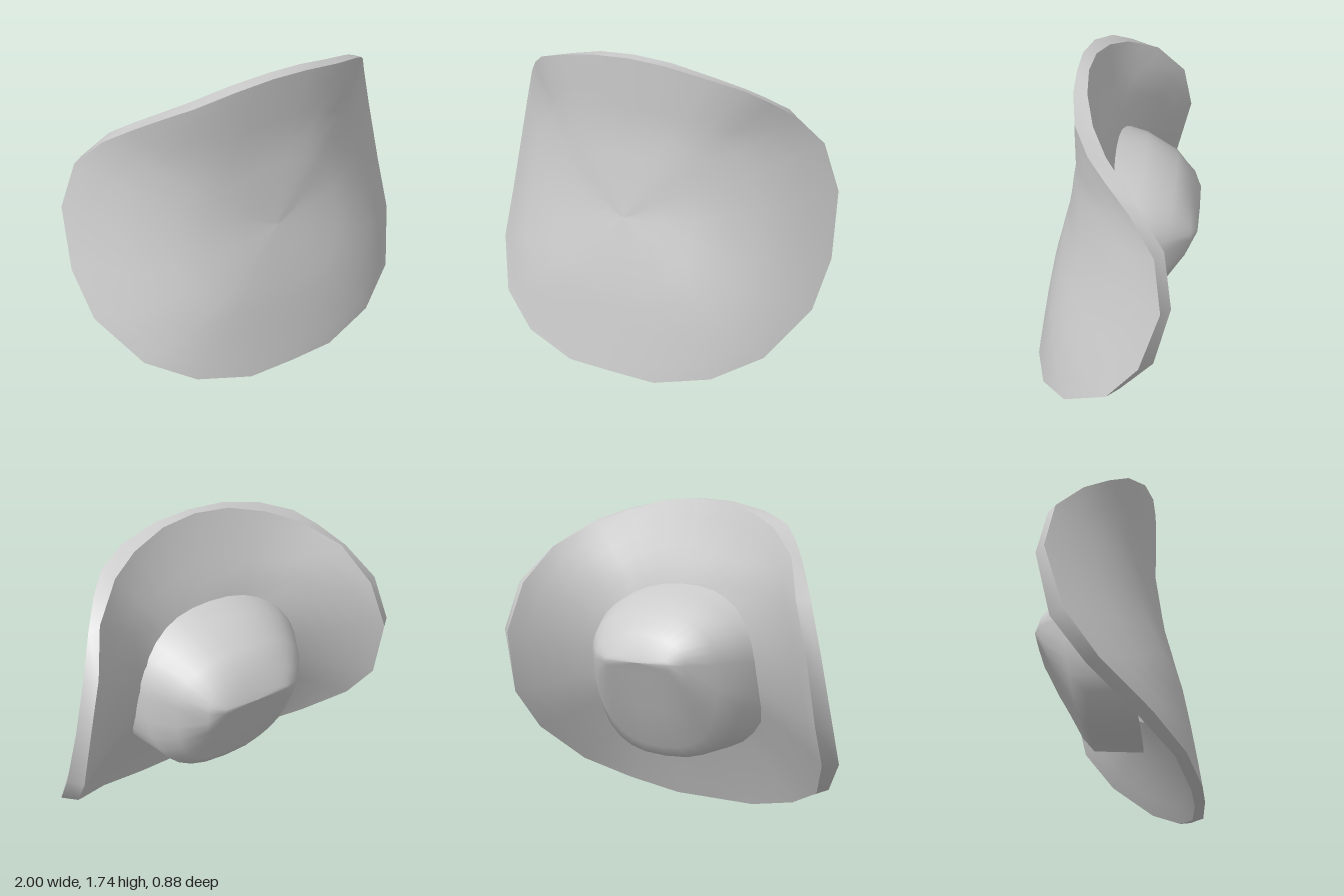
import * as THREE from 'three';

const material = new THREE.MeshStandardMaterial({ color: 0xcccccc, side: THREE.DoubleSide });

// Skin a list of closed rings of equal length
function loft(name, rings) {
  const n = rings[0].length, index = [];
  for (let i = 0; i < rings.length - 1; i++) {
    for (let j = 0; j < n; j++) {
      const k = (j + 1) % n;
      const a = i * n + j, b = i * n + k, c = a + n, d = b + n;
      index.push(a, c, b, b, c, d);
    }
  }
  const g = new THREE.BufferGeometry();
  g.setAttribute('position', new THREE.Float32BufferAttribute(rings.flat(2), 3));
  g.setIndex(index);
  g.computeVertexNormals();
  const mesh = new THREE.Mesh(g, material);
  mesh.name = name;
  return mesh;
}

// Complete half an outline (top to bottom) with its mirror image
const mirrored = (half) =>
  [...half, ...half.slice(1, -1).reverse().map(([x, y, z]) => [-x, y, z])];

// Rim edge on the underside
const underRim = mirrored([
  [0, 1.742, 0.205], [0.2, 1.73, 0.2], [0.42, 1.685, 0.165], [0.59, 1.625, 0.085],
  [0.69, 1.55, -0.01], [0.79, 1.45, -0.13], [0.9, 1.28, -0.26], [0.98, 1.01, -0.3],
  [1, 0.66, -0.2], [0.965, 0.42, -0.035], [0.8, 0.21, 0.205], [0.56, 0.09, 0.355],
  [0.26, 0.02, 0.427], [0, 0.025, 0.438],
]);

// Rim edge on the crown side
const crownRim = mirrored([
  [0, 1.745, 0.145], [0.2, 1.728, 0.13], [0.4, 1.672, 0.08], [0.56, 1.605, 0],
  [0.64, 1.55, -0.07], [0.74, 1.475, -0.155], [0.84, 1.28, -0.303], [0.925, 1, -0.348],
  [0.94, 0.65, -0.27], [0.9, 0.42, -0.1], [0.76, 0.2, 0.14], [0.54, 0.08, 0.3],
  [0.25, 0.01, 0.37], [0, 0.005, 0.385],
]);

// Depth of the underside along the middle line, as [y, z]
const spine = [[0, 0.442], [0.5, 0.36], [0.95, 0.25], [1.35, 0.195], [1.75, 0.205]];
function spineZ(y) {
  let i = 0;
  while (i < spine.length - 2 && y > spine[i + 1][0]) i++;
  const [y0, z0] = spine[i], [y1, z1] = spine[i + 1];
  return z0 + (z1 - z0) * (y - y0) / (y1 - y0);
}

// Shrink a rim towards the middle; a higher curl keeps the middle flatter
const MID_Y = 0.88;
function brimRing(rim, t, curl, thickness) {
  return rim.map(([x, y, z]) => {
    const yy = MID_Y + (y - MID_Y) * t;
    return [x * t, yy, spineZ(yy) + (z - spineZ(y)) * t ** curl - thickness * (1 - t)];
  });
}

// Crown levels: half width, bottom y, top y, then z at bottom, top and sides
const RIDGE_Y = 0.92;
const crownLevels = [
  [0.001, 0.919, 0.921, -0.445, -0.445, -0.445],
  [0.2, 0.86, 0.96, -0.415, -0.435, -0.442],
  [0.28, 0.66, 1.06, -0.32, -0.395, -0.41],
  [0.39, 0.43, 1.17, -0.205, -0.315, -0.28],
  [0.48, 0.37, 1.26, -0.155, -0.14, -0.12],
  [0.53, 0.365, 1.31, 0.12, 0.1, 0.02],
];

// Ring round the crown, boxier below the ridge than above it
function crownRing([w, y0, y1, z0, z1, zs]) {
  const ring = [], n = 32;
  for (let j = 0; j < n; j++) {
    const a = (j / n) * Math.PI * 2, up = Math.cos(a) > 0;
    const box = (v) => Math.sign(v) * Math.abs(v) ** (up ? 0.92 : 0.78);
    const s = box(Math.sin(a)), c = Math.abs(box(Math.cos(a)));
    const y = RIDGE_Y + ((up ? y1 : y0) - RIDGE_Y) * c;
    ring.push([w * s, y, zs + ((up ? z1 : z0) - zs) * c ** 1.4]);
  }
  return ring;
}

export function createModel() {
  const hat = new THREE.Group();
  hat.name = 'wideBrimHat';

  // Brim: underside, upper side and the edge band between them
  const underside = [1, 0.9, 0.8, 0.7, 0.55, 0.4, 0.2, 0.001];
  const upperSide = [0.4, 0.5, 0.6, 0.7, 0.8, 0.9, 1];
  hat.add(loft('brimUnderside', underside.map((t) => brimRing(underRim, t, 2.7, 0))));
  hat.add(loft('brimUpperSide', upperSide.map((t) => brimRing(crownRim, t, 2, 0.35))));
  hat.add(loft('brimEdge', [crownRim, underRim]));

  // Crown: ridged dome sunk into the brim
  hat.add(loft('crown', crownLevels.map(crownRing)));
  return hat;
}
